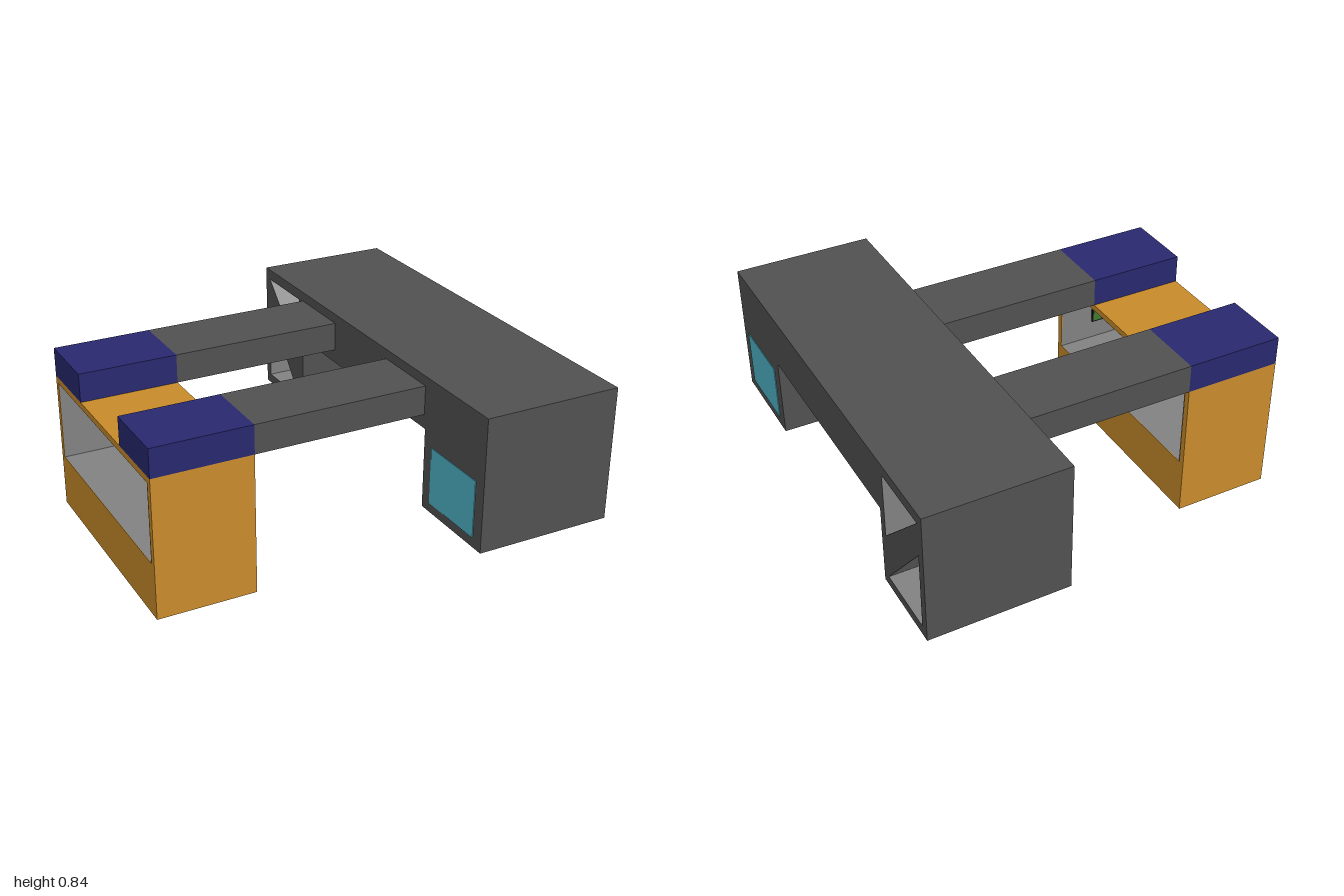
import * as THREE from 'three';

const mat = (color, side = THREE.FrontSide) =>
  new THREE.MeshStandardMaterial({ color, side, flatShading: true });

export function createModel() {
  const group = new THREE.Group();
  const dark = mat(0x515151), orange = mat(0xc98b2b), blue = mat(0x28286f);
  const teal = mat(0x4fb5c8), black = mat(0x151515), green = mat(0x3f7a30);
  const grey = mat(0x828282, THREE.DoubleSide), cream = mat(0xd8cfa0, THREE.DoubleSide);

  const add = (name, geometry, material) => {
    const mesh = new THREE.Mesh(geometry, material);
    mesh.name = name;
    group.add(mesh);
    return mesh;
  };
  // Box given by its limits on each axis
  const box = (name, material, [x0, x1], [y0, y1], [z0, z1]) =>
    add(name, new THREE.BoxGeometry(x1 - x0, y1 - y0, z1 - z0)
      .translate((x0 + x1) / 2, (y0 + y1) / 2, (z0 + z1) / 2), material);
  const toPoints = (pts) => pts.map(([u, v]) => new THREE.Vector2(u, v));
  const rect = (u0, u1, v0, v1) => [[u0, v0], [u1, v0], [u1, v1], [u0, v1]];
  // Outline with holes, extruded along z
  const extrude = (outline, holes, depth) => {
    const shape = new THREE.Shape(toPoints(outline));
    holes.forEach((h) => shape.holes.push(new THREE.Path(toPoints(h))));
    return new THREE.ExtrudeGeometry(shape, { depth, bevelEnabled: false });
  };
  // Open sleeve that lines a hole, slightly smaller than the hole itself
  const sleeve = (hole, depth) => {
    const n = hole.length;
    const c = [0, 1].map((k) => hole.reduce((s, p) => s + p[k], 0) / n);
    const p = hole.map((q) => q.map((v, k) => c[k] + (v - c[k]) * 0.99));
    const pos = [];
    p.forEach(([u, v], i) => {
      const [s, t] = p[(i + 1) % n];
      pos.push(u, v, 0, s, t, depth, s, t, 0, u, v, 0, u, v, depth, s, t, depth);
    });
    const g = new THREE.BufferGeometry();
    g.setAttribute('position', new THREE.Float32BufferAttribute(pos, 3));
    g.computeVertexNormals();
    return g;
  };
  // Turns an extrusion to run along x from x0; profile u becomes -z
  const alongX = (g, x0) => g.rotateY(Math.PI / 2).translate(x0, 0, 0);

  // Bridge-shaped main hall with a diagonal brace in its rear leg
  const X0 = 0.31, X1 = 0.96;
  const braceHoles = [
    [[0.64, 0.48], [0.96, 0.79], [0.64, 0.79]],
    [[0.64, 0.26], [0.96, 0.26], [0.96, 0.63]],
  ];
  const arch = [[-1, 0.215], [-0.6, 0.215], [-0.6, 0.595], [0.6, 0.595],
    [0.6, 0.215], [1, 0.215], [1, 0.84], [-1, 0.84]];
  add('mainHall', alongX(extrude(arch, braceHoles, X1 - X0), X0), dark);
  braceHoles.forEach((h) => add('braceLining', alongX(sleeve(h, X1 - X0), X0), grey));

  // Inner wall of the front leg with a doorway
  const doorway = rect(0.55, 0.73, 0.235, 0.4);
  add('doorWall', extrude(rect(X0, X1, 0.215, 0.595), [doorway], 0.06).translate(0, 0, 0.54), dark);
  add('doorLining', sleeve(doorway, 0.059).translate(0, 0, 0.5405), cream);
  box('door', cream, [0.55, 0.73], [0.235, 0.4], [0.597, 0.6]);

  // Windows on both sides of the front leg
  for (const x of [X0, X1]) box('window', teal, [x - 0.003, x + 0.003], [0.26, 0.53], [0.6, 0.94]);

  // Side hall, open from side to side
  const opening = rect(-0.5, 0.57, 0.255, 0.63);
  add('sideHall', alongX(extrude(rect(-0.53, 0.6, 0, 0.66), [opening], 0.46), -0.96), orange);
  add('sideHallLining', alongX(sleeve(opening, 0.458), -0.959), grey);

  // Roof beams that join the two halls
  for (const z of [[0.2, 0.53], [-0.6, -0.27]]) {
    box('beamEnd', blue, [-0.96, -0.5], [0.66, 0.795], z);
    box('beam', dark, [-0.5, X0], [0.66, 0.795], z);
  }

  // Wall screen inside the side hall
  box('screenFrame', black, [-0.8, -0.67], [0.35, 0.42], [0.487, 0.5]);
  box('screen', green, [-0.793, -0.677], [0.357, 0.413], [0.485, 0.488]);

  return group;
}
